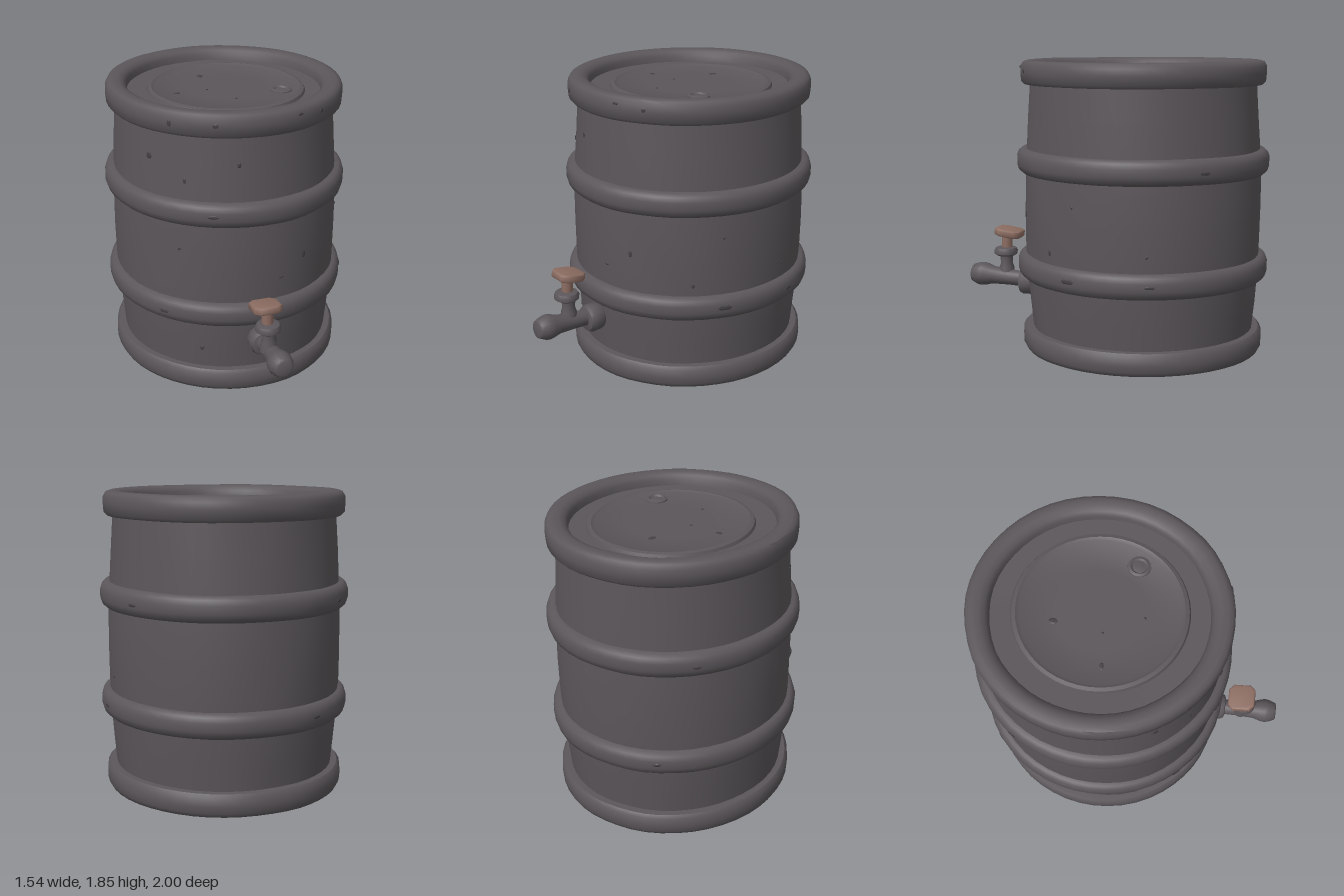
import * as THREE from 'three';
import { toCreasedNormals } from 'three/addons/utils/BufferGeometryUtils.js';

const DEPTH = 1.045;      // the barrel is slightly deeper than wide
const CENTRE_Z = -0.19;

// Gentle hand-hammered unevenness, a smooth function of position
function dent(geometry, amount) {
  const p = geometry.attributes.position;
  for (let i = 0; i < p.count; i++) {
    const x = p.getX(i), y = p.getY(i), z = p.getZ(i);
    const n = Math.sin(x * 9 + y * 3) * Math.sin(z * 8 - y * 4 + 1) + 0.5 * Math.sin(x * 15 - z * 11 + y * 7);
    const k = 1 + amount * n;
    p.setXYZ(i, x * k, y + amount * 0.4 * Math.sin(x * 6 + z * 5), z * k);
  }
  return geometry;
}

function lathe(profile, segments, wobble = 0) {
  const g = new THREE.LatheGeometry(profile.map(([r, y]) => new THREE.Vector2(r, y)), segments);
  return toCreasedNormals(dent(g, wobble), 0.75);
}

export function createModel() {
  const model = new THREE.Group();
  const metal = new THREE.MeshStandardMaterial({ color: 0x5b565a });
  metal.name = 'dark metal';
  const pitted = new THREE.MeshStandardMaterial({ color: 0x454145 });
  pitted.name = 'pitted metal';
  const copper = new THREE.MeshStandardMaterial({ color: 0x8c6d62 });
  copper.name = 'dull copper';

  const add = (parent, name, geometry, material, x = 0, y = 0, z = 0) => {
    const mesh = new THREE.Mesh(geometry, material);
    mesh.name = name;
    mesh.position.set(x, y, z);
    parent.add(mesh);
    return mesh;
  };

  // Barrel
  const barrel = new THREE.Group();
  barrel.name = 'barrel';
  barrel.position.z = CENTRE_Z;
  barrel.scale.z = DEPTH;
  model.add(barrel);

  const wall = [[0.682, 0.1], [0.7, 0.3], [0.716, 0.5], [0.724, 0.7], [0.726, 0.9],
    [0.724, 1.1], [0.716, 1.28], [0.703, 1.5], [0.688, 1.74]];
  add(barrel, 'barrelWall', lathe(wall, 48, 0.004), metal);

  // Two hoops around the wall
  const hoop = [[0.7, -0.078], [0.742, -0.076], [0.762, -0.058], [0.772, -0.025], [0.772, 0.025],
    [0.762, 0.056], [0.742, 0.074], [0.7, 0.076]];
  [['lowerHoop', 0.555], ['upperHoop', 1.225]].forEach(([name, y]) =>
    add(barrel, name, lathe(hoop, 48, 0.003), metal, 0, y));

  // Rims: thick rolled edges, mirrored top and bottom
  const rim = [[0.66, -0.075], [0.725, -0.073], [0.742, -0.055], [0.746, 0], [0.744, 0.04],
    [0.73, 0.066], [0.705, 0.075], [0.66, 0.074], [0.63, 0.06], [0.614, 0.035], [0.61, -0.03]];
  add(barrel, 'topRim', lathe(rim, 48, 0.003), metal, 0, 1.777);
  const lower = rim.map(([r, y]) => [r, -y]).reverse();
  add(barrel, 'bottomRim', lathe(lower, 48, 0.003), metal, 0, 0.075);

  // Lid with a raised round panel, and the recessed base
  add(barrel, 'lid', lathe([[0.63, 1.775], [0.5, 1.77], [0.492, 1.788], [0.47, 1.794],
    [0.45, 1.782], [0.25, 1.78], [0, 1.78]], 48), metal, 0.015);
  add(barrel, 'base', lathe([[0, 0.055], [0.3, 0.055], [0.63, 0.05]], 48), metal);

  // Bung set in the lid
  add(barrel, 'bung', lathe([[0.068, -0.01], [0.066, 0.006], [0.05, 0.012], [0.04, 0.002],
    [0.03, 0.004], [0, 0.006]], 16), metal, 0.32, 1.782, 0.18);

  // Chips: thin facets lying on a surface. [angle, height, radius, width, height of chip]
  const chips = [[-0.4, 1.23, 0.773, 0.055, 0.015], [-0.82, 0.55, 0.773, 0.05, 0.02], [1.2, 0.56, 0.773, 0.07, 0.022],
    [1.84, 0.56, 0.773, 0.05, 0.015], [2.25, 1.22, 0.773, 0.05, 0.015], [-2.5, 0.56, 0.773, 0.04, 0.015],
    [-2.2, 1.22, 0.773, 0.04, 0.015], [-0.38, 1.785, 0.747, 0.03, 0.02], [0.32, 1.81, 0.746, 0.03, 0.012],
    [0.56, 1.79, 0.747, 0.02, 0.02], [-0.75, 1.78, 0.747, 0.02, 0.03], [0.42, 0.88, 0.728, 0.018, 0.035],
    [-0.19, 1.53, 0.703, 0.018, 0.025], [-1.0, 1.53, 0.703, 0.03, 0.03], [-0.65, 1.42, 0.71, 0.014, 0.025],
    [-0.52, 0.29, 0.702, 0.022, 0.022], [0.18, 0.77, 0.728, 0.025, 0.01], [-0.7, 0.98, 0.728, 0.014, 0.016],
    [1.2, 1.0, 0.728, 0.012, 0.012], [1.82, 0.73, 0.727, 0.014, 0.012], [0.95, 0.7, 0.727, 0.016, 0.025]];
  const chipShape = new THREE.IcosahedronGeometry(1, 0);
  chips.forEach(([a, y, r, w, h]) => {
    const chip = add(barrel, 'chip', chipShape, pitted, r * Math.sin(a), y, r * Math.cos(a));
    chip.rotation.y = a;
    chip.scale.set(w * 0.75, h * 0.75, 0.004);
  });
  [[-0.08, -0.25, 0.02, 0.03], [-0.32, 0.05, 0.025, 0.015], [-0.12, 0.03, 0.01, 0.01], [0.0, 0.25, 0.01, 0.01]]
    .forEach(([x, z, w, d]) => {
      add(barrel, 'lidChip', chipShape, pitted, x, 1.781, z).scale.set(w, 0.004, d);
    });

  // Tap
  const tap = new THREE.Group();
  tap.name = 'tap';
  model.add(tap);

  const flange = lathe([[0.07, -0.07], [0.088, -0.04], [0.09, 0.02], [0.078, 0.045], [0.045, 0.055]], 14);
  add(tap, 'flange', flange.rotateX(Math.PI / 2), metal, 0, 0.365, 0.6);

  const spout = lathe([[0.052, 0], [0.053, 0.1], [0.06, 0.22], [0.076, 0.27], [0.08, 0.3],
    [0.076, 0.325], [0.058, 0.368], [0.045, 0.374], [0, 0.374]], 14);
  add(tap, 'spout', spout.rotateX(Math.PI / 2 - 0.07), metal, -0.005, 0.375, 0.628);

  add(tap, 'valveNeck', lathe([[0.055, 0.39], [0.05, 0.45], [0.04, 0.48], [0.045, 0.54]], 12), metal, -0.018, 0, 0.758);
  add(tap, 'valveCollar', lathe([[0, 0.53], [0.06, 0.53], [0.078, 0.542], [0.08, 0.565],
    [0.07, 0.582], [0.045, 0.588], [0, 0.588]], 14), metal, -0.025, 0, 0.765);
  add(tap, 'valveStem', new THREE.CylinderGeometry(0.036, 0.036, 0.1, 10), copper, -0.028, 0.625, 0.757);

  // Handle: bevelled slab, tilted up towards the front
  const w = 0.075, d = 0.075, c = 0.025;
  const outline = new THREE.Shape([[-w + c, -d], [w - c, -d], [w, -d + c], [w, d - c],
    [w - c, d], [-w + c, d], [-w, d - c], [-w, -d + c]].map(([x, y]) => new THREE.Vector2(x, y)));
  const slab = new THREE.ExtrudeGeometry(outline,
    { depth: 0.026, bevelEnabled: true, bevelThickness: 0.012, bevelSize: 0.013, bevelSegments: 2 });
  slab.translate(0, 0, -0.013).rotateX(-Math.PI / 2);
  add(tap, 'handle', toCreasedNormals(slab, 0.9), copper, -0.035, 0.688, 0.74).rotation.x = -0.16;

  return model;
}
